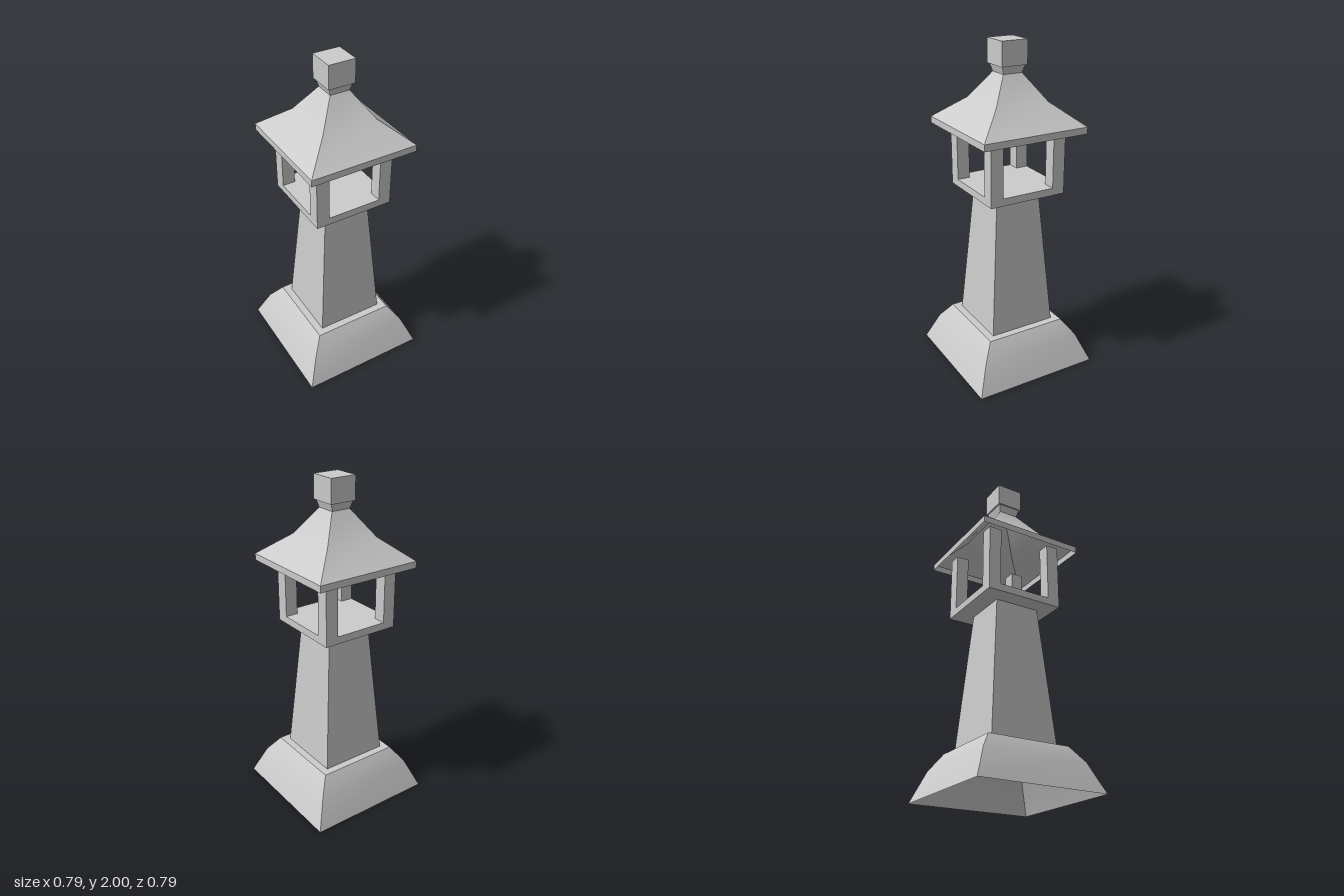
import * as THREE from 'three';

const material = new THREE.MeshStandardMaterial({ color: 0xcccccc, side: THREE.DoubleSide });

// Square shell swept up a profile of [halfWidth, y]; smooth along each side, sharp at the four corners
function squareShell(profile) {
  const positions = [], indices = [];
  for (let side = 0; side < 4; side++) {
    const a = side * Math.PI / 2, c = Math.cos(a), s = Math.sin(a);
    const start = positions.length / 3;
    for (const [r, y] of profile) {
      for (const x of [-r, r]) positions.push(x * c + r * s, y, r * c - x * s);
    }
    for (let i = 0; i < profile.length - 1; i++) {
      const k = start + i * 2;
      indices.push(k, k + 1, k + 3, k, k + 3, k + 2);
    }
  }
  const geometry = new THREE.BufferGeometry();
  geometry.setAttribute('position', new THREE.Float32BufferAttribute(positions, 3));
  geometry.setIndex(indices);
  geometry.computeVertexNormals();
  return geometry;
}

export function createModel() {
  const model = new THREE.Group();
  model.name = 'stoneLantern';

  function add(name, geometry, x = 0, y = 0, z = 0) {
    const mesh = new THREE.Mesh(geometry, material);
    mesh.name = name;
    mesh.position.set(x, y, z);
    model.add(mesh);
  }
  function box(name, w, bottom, top, x, z) {
    add(name, new THREE.BoxGeometry(w, top - bottom, w), x, (bottom + top) / 2, z);
  }

  // Hollow flared base, its ledge, and the tapering hollow tower
  add('base', squareShell([[0.393, 0], [0.32, 0.175], [0.253, 0.27]]));
  add('baseLedge', squareShell([[0.253, 0.27], [0.208, 0.27]]));
  add('tower', squareShell([[0.208, 0.27], [0.14, 1.12]]));

  // Lantern chamber: floor slab and four corner posts
  const lx = -0.002, lz = -0.01;
  box('lanternFloor', 0.484, 1.12, 1.165, lx, lz);
  for (const sx of [-1, 1]) {
    for (const sz of [-1, 1]) {
      box('lanternPost', 0.078, 1.165, 1.53, lx + sx * 0.203, lz + sz * 0.203);
    }
  }

  // Hollow roof with a thin vertical eave, closed at the top
  const rx = 0.006, rz = -0.007;
  add('eave', squareShell([[0.328, 1.49], [0.328, 1.53]]), rx, 0, rz);
  add('roof', squareShell([[0.328, 1.53], [0.168, 1.66], [0.06, 1.815]]), rx, 0, rz);
  add('roofTop', squareShell([[0.06, 1.815], [0, 1.815]]), rx, 0, rz);

  // Finial: flared neck and square cap
  add('finialNeck', squareShell([[0.06, 1.815], [0.073, 1.86]]), rx, 0, rz);
  box('finialCap', 0.164, 1.86, 2, rx, rz);

  return model;
}
